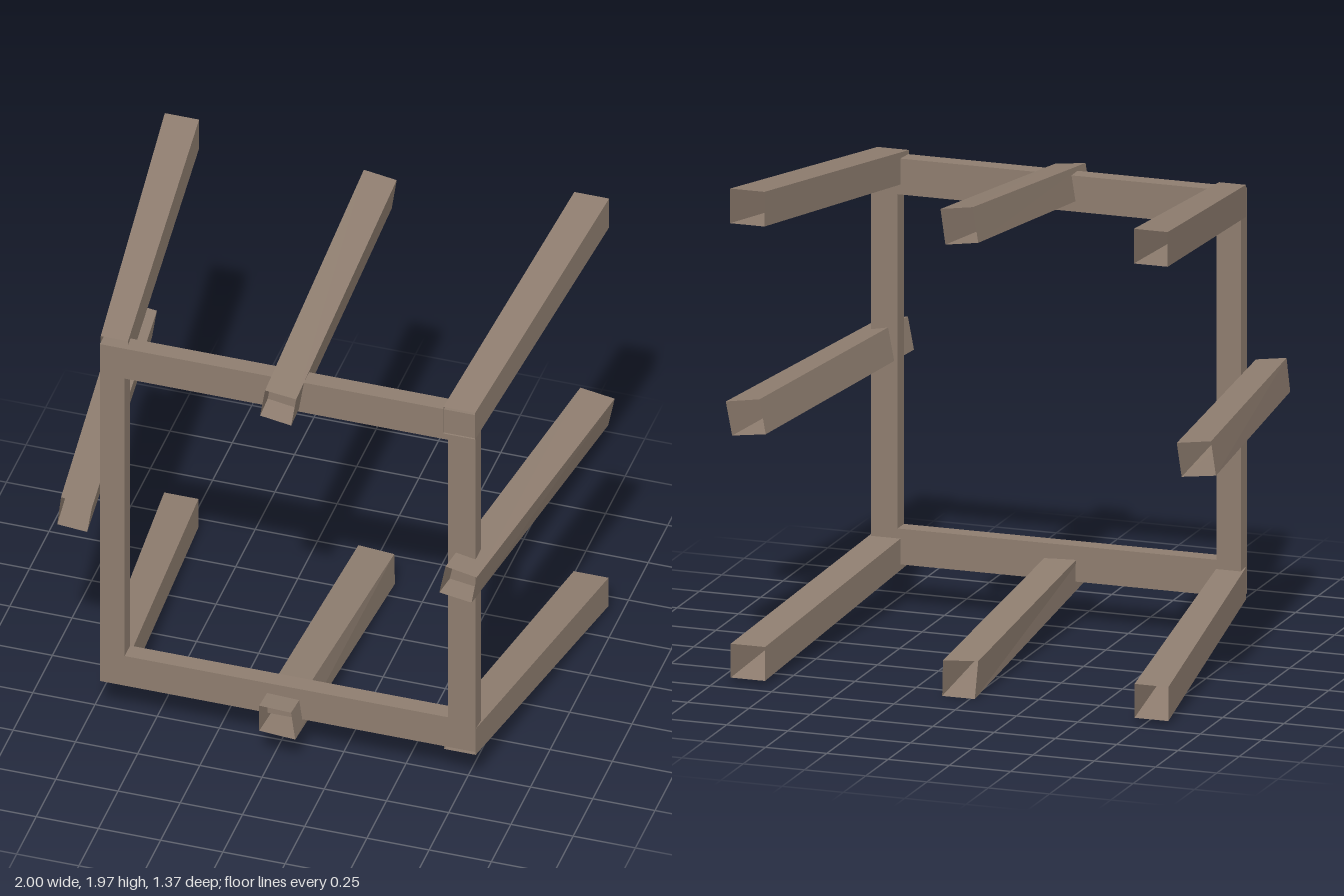
import * as THREE from 'three';

const wood = new THREE.MeshStandardMaterial({ color: 0x8e7d6f, side: THREE.DoubleSide });
wood.name = 'brown wood';

// Axis-aligned end section, corners anticlockwise from lower left
const rect = (x0, y0, x1, y1) => [[x0, y0], [x1, y0], [x1, y1], [x0, y1]];

// Open four-sided tube joining a front section to a back section
function beam(name, front, zFront, back, zBack) {
  const pos = [];
  for (let i = 0; i < 4; i++) {
    const j = (i + 1) % 4;
    const a = [...front[i], zFront], b = [...front[j], zFront];
    const c = [...back[j], zBack], d = [...back[i], zBack];
    pos.push(...a, ...d, ...c, ...a, ...c, ...b);
  }
  const geo = new THREE.BufferGeometry();
  geo.setAttribute('position', new THREE.Float32BufferAttribute(pos, 3));
  geo.computeVertexNormals();
  const mesh = new THREE.Mesh(geo, wood);
  mesh.name = name;
  return mesh;
}

export function createModel() {
  const model = new THREE.Group();
  model.name = 'beamFrame';

  // Square frame with a rectangular opening
  const outline = new THREE.Shape(rect(-0.705, 0.185, 0.805, 1.8).map(p => new THREE.Vector2(...p)));
  outline.holes.push(new THREE.Path(rect(-0.605, 0.327, 0.695, 1.657).reverse().map(p => new THREE.Vector2(...p))));
  const frameGeo = new THREE.ExtrudeGeometry(outline, { depth: 0.07, bevelEnabled: false });
  frameGeo.translate(0, 0, 0.512);
  const frame = new THREE.Mesh(frameGeo, wood);
  frame.name = 'frontFrame';
  model.add(frame);

  // Corner beams, splaying outward towards the back
  model.add(
    beam('upperRightBeam', rect(-0.71, 1.69, -0.6, 1.818), 0.555, rect(-0.843, 1.83, -0.705, 1.968), -0.685),
    beam('upperLeftBeam', rect(0.677, 1.688, 0.805, 1.815), 0.588, rect(0.805, 1.83, 0.945, 1.968), -0.677),
    beam('lowerRightBeam', rect(-0.71, 0.168, -0.6, 0.295), 0.555, rect(-0.843, 0.02, -0.705, 0.155), -0.677),
    beam('lowerLeftBeam', rect(0.677, 0.17, 0.805, 0.295), 0.58, rect(0.805, 0.02, 0.945, 0.155), -0.67),
  );

  // Middle beams, slightly twisted and poking through the frame
  model.add(
    beam('topBeam',
      [[-0.03, 1.68], [0.095, 1.66], [0.115, 1.79], [-0.01, 1.805]], 0.68,
      [[-0.032, 1.82], [0.102, 1.8], [0.122, 1.94], [-0.01, 1.96]], -0.58),
    beam('bottomBeam',
      [[-0.033, 0.17], [0.112, 0.16], [0.095, 0.285], [-0.033, 0.29]], 0.682,
      [[-0.018, 0.003], [0.115, 0.003], [0.112, 0.145], [-0.032, 0.155]], -0.58),
    beam('rightBeam',
      [[-0.845, 0.975], [-0.725, 0.965], [-0.705, 1.09], [-0.83, 1.108]], 0.68,
      [[-1, 0.985], [-0.86, 0.967], [-0.84, 1.1], [-0.98, 1.12]], -0.575),
    beam('leftBeam',
      [[0.69, 0.995], [0.82, 0.975], [0.84, 1.1], [0.715, 1.125]], 0.68,
      [[0.835, 0.975], [0.972, 0.957], [0.998, 1.09], [0.86, 1.112]], -0.58),
  );
  return model;
}
